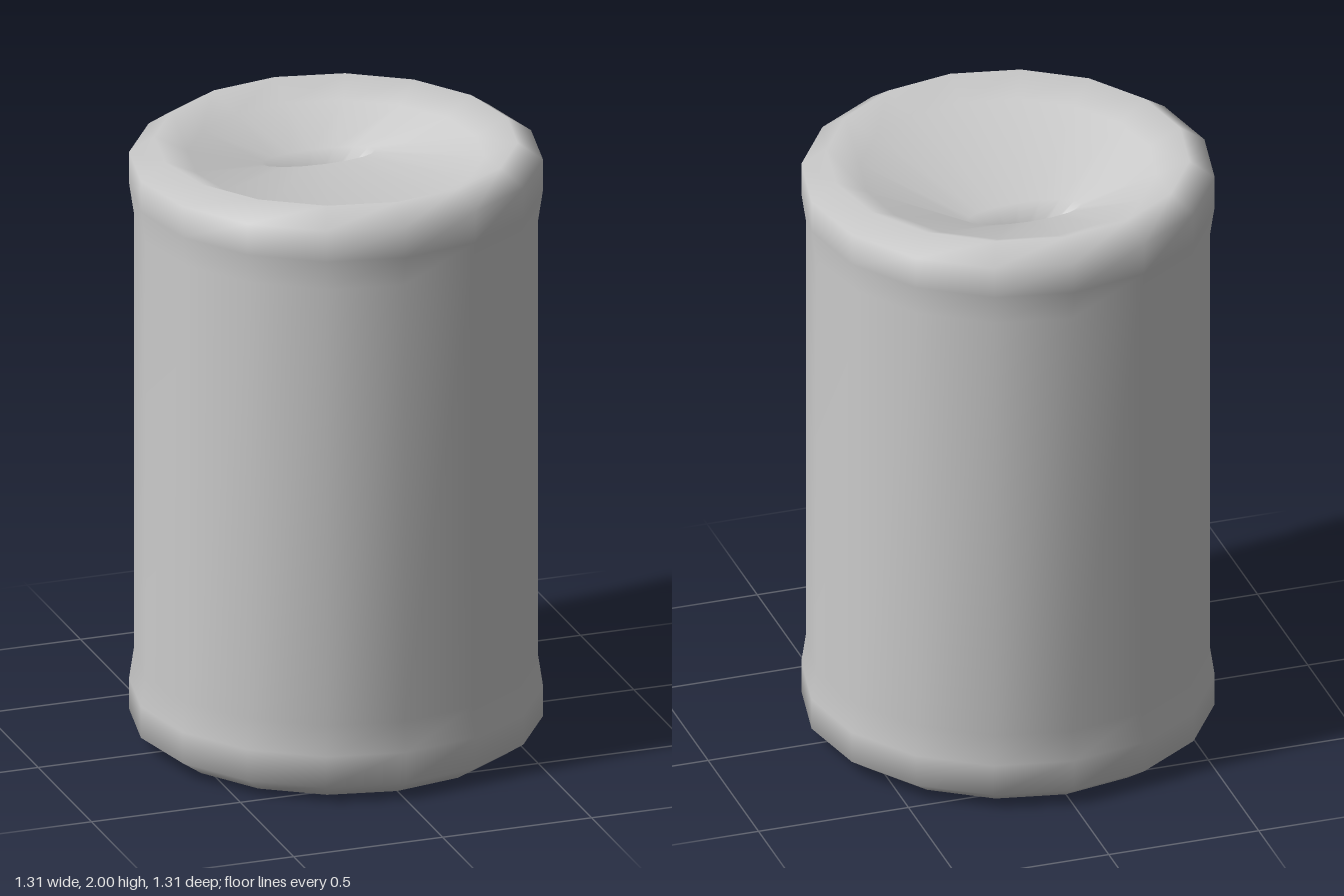
import * as THREE from 'three';

const SIDES = 16;

// Each ring is [radiusX, radiusZ, y, centreZ]; rings run from the underside, up the wall and into the funnel.
function loft(rings) {
  const pos = [], index = [];
  for (const [rx, rz, y, cz = 0] of rings) {
    for (let i = 0; i < SIDES; i++) {
      const a = (i / SIDES) * Math.PI * 2;
      pos.push(Math.sin(a) * rx, y, Math.cos(a) * rz + cz);
    }
  }
  for (let r = 0; r < rings.length - 1; r++) {
    for (let i = 0; i < SIDES; i++) {
      const j = (i + 1) % SIDES;
      const a = r * SIDES + i, b = r * SIDES + j;
      index.push(a, b, b + SIDES, a, b + SIDES, a + SIDES);
    }
  }
  // Underside centre fan
  const centre = pos.length / 3;
  pos.push(0, rings[0][2], 0);
  for (let i = 0; i < SIDES; i++) index.push(centre, (i + 1) % SIDES, i);

  const g = new THREE.BufferGeometry();
  g.setAttribute('position', new THREE.Float32BufferAttribute(pos, 3));
  g.setIndex(index);
  g.computeVertexNormals();
  return g;
}

export function createModel() {
  const group = new THREE.Group();
  group.name = 'can';
  const material = new THREE.MeshStandardMaterial({ color: 0xcccccc });
  const round = (r, y) => [r, r, y];

  // Shell: recessed base, bulged end rims, straight wall, lid sloping to an off-centre opening
  const body = new THREE.Mesh(loft([
    round(0.42, 0.08),
    round(0.48, 0.05),
    round(0.575, 0),
    round(0.655, 0.055),
    round(0.655, 0.16),
    round(0.64, 0.26),
    round(0.64, 1.74),
    round(0.655, 1.84),
    round(0.655, 1.945),
    round(0.575, 2),
    round(0.47, 1.95),
    [0.19, 0.065, 1.88, -0.165],
    [0.083, 0.028, 1.78, -0.165],
  ]), material);
  body.name = 'canBody';
  group.add(body);

  // Flat floor of the drinking hole
  const floor = new THREE.Mesh(new THREE.CircleGeometry(1, SIDES), material);
  floor.name = 'openingFloor';
  floor.rotation.x = -Math.PI / 2;
  floor.scale.set(0.083, 0.028, 1);
  floor.position.set(0, 1.78, -0.165);
  group.add(floor);

  return group;
}
